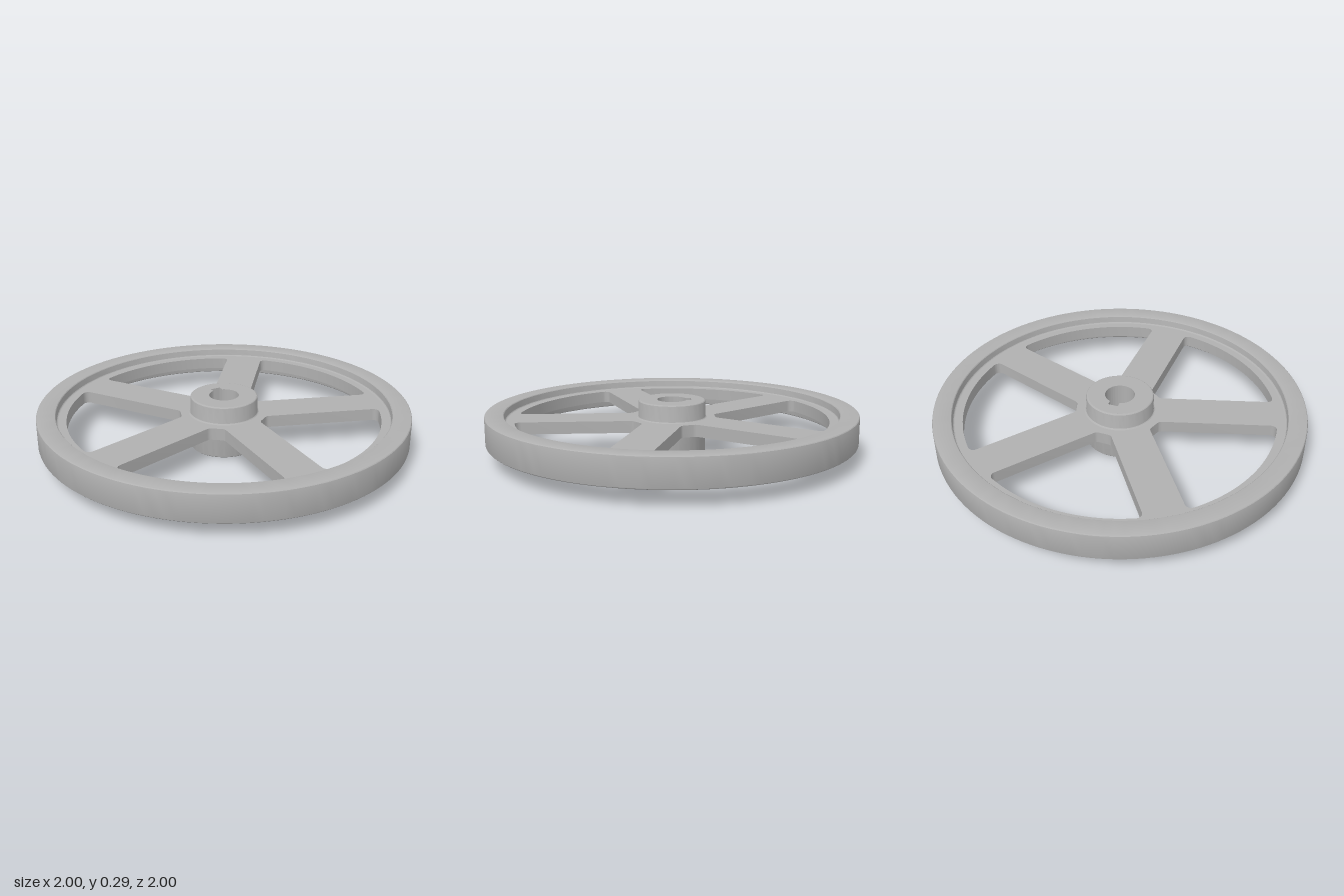
import * as THREE from 'three';
import { toCreasedNormals } from 'three/addons/utils/BufferGeometryUtils.js';

const MID = 0.1625; // mid-plane height of the wheel
const WEB_HALF = 0.0325, RIM_HALF = 0.0775;
const HUB_R = 0.182, HUB_H = 0.29, FILLET = 0.01;

const steel = new THREE.MeshStandardMaterial({ color: 0xb0b0b0 });
steel.name = 'steelGrey';

function part(name, geometry) {
  const mesh = new THREE.Mesh(toCreasedNormals(geometry, 0.3), steel);
  mesh.name = name;
  return mesh;
}

// quarter-round points about (cx, cy), angles in quarter turns
function round(cx, cy, from, to, r = FILLET) {
  return [0, 1, 2, 3].map((i) => {
    const a = (from + ((to - from) * i) / 3) * Math.PI / 2;
    return new THREE.Vector2(cx + r * Math.cos(a), cy + r * Math.sin(a));
  });
}

// flat shape laid horizontally between two heights
function plate(shape, y0, y1) {
  const g = new THREE.ExtrudeGeometry(shape, { depth: y1 - y0, bevelEnabled: false, curveSegments: 96 });
  return g.rotateX(-Math.PI / 2).translate(0, y0, 0);
}

function disc(r) {
  return new THREE.Shape().absarc(0, 0, r, 0, Math.PI * 2, false);
}

// outline of one opening between two spokes, with rounded corners
function windowPoints() {
  const half = Math.PI / 5, spoke = 0.105, outer = 0.845, inner = 0.235, f = 0.03;
  const s = Math.sin(half), c = Math.cos(half), off = spoke + f;
  const sOut = Math.sqrt((outer - f) ** 2 - off ** 2);
  const sIn = (inner + f - off * s) / c;
  const ox = sOut * s - off * c, oy = sOut * c + off * s;
  const ix = sIn * s - off * c, iy = inner + f;
  const a = Math.atan2(oy, ox);
  const arc = (x, y, r, a0, a1, n) => Array.from({ length: n + 1 }, (_, i) => {
    const t = a0 + ((a1 - a0) * i) / n;
    return new THREE.Vector2(x + r * Math.cos(t), y + r * Math.sin(t));
  });
  return [
    ...arc(ix, iy, f, -Math.PI / 2, -half, 5),
    ...arc(ox, oy, f, -half, a, 8),
    ...arc(0, 0, outer, a, Math.PI - a, 24).slice(1, -1),
    ...arc(-ox, oy, f, Math.PI - a, Math.PI + half, 8),
    ...arc(-ix, iy, f, Math.PI + half, Math.PI * 1.5, 5),
  ];
}

export function createModel() {
  const wheel = new THREE.Group();
  wheel.name = 'spokedWheel';

  // rim: rounded ring with small fillets down to the web
  const top = MID + RIM_HALF, bottom = MID - RIM_HALF;
  const webTop = MID + WEB_HALF, webBottom = MID - WEB_HALF;
  const rimIn = 0.897, e = FILLET;
  const rim = [
    ...round(rimIn + e, bottom + e, -2, -1),
    ...round(1 - e, bottom + e, -1, 0),
    ...round(1 - e, top - e, 0, 1),
    ...round(rimIn + e, top - e, 1, 2),
    ...round(rimIn - e, webTop + e, 0, -1),
    ...round(rimIn - e, webBottom - e, 1, 0),
  ];
  rim.push(rim[0].clone());
  wheel.add(part('rim', new THREE.LatheGeometry(rim, 128)));

  // web: thin disc pierced by five openings, leaving five spokes
  const web = disc(0.91);
  const outline = windowPoints();
  for (let i = 0; i < 5; i++) {
    const pts = outline.map((p) => p.clone().rotateAround(new THREE.Vector2(), i * Math.PI * 0.4));
    web.holes.push(new THREE.Path(pts));
  }
  web.holes.push(new THREE.Path().absarc(0, 0, 0.15, 0, Math.PI * 2, true));
  wheel.add(part('spokes', plate(web, webBottom, webTop)));

  // hub: outer skin with rounded ends and fillets at the web
  const hub = [
    ...round(HUB_R - e, e, -1, 0),
    ...round(HUB_R + e, webBottom - e, 2, 1),
    ...round(HUB_R + e, webTop + e, 3, 2),
    ...round(HUB_R - e, HUB_H - e, 0, 1),
  ];
  wheel.add(part('hubSkin', new THREE.LatheGeometry(hub, 96)));

  // hub core with the bore and its keyway
  const bore = 0.08, key = 0.027, keyTop = 0.104, b = Math.asin(key / bore);
  const core = disc(HUB_R - e);
  const hole = new THREE.Path();
  hole.moveTo(key, keyTop);
  hole.lineTo(-key, keyTop);
  hole.absarc(0, 0, bore, Math.PI / 2 + b, Math.PI * 2.5 - b, false);
  hole.closePath();
  core.holes.push(hole);
  wheel.add(part('hubCore', plate(core, 0, HUB_H)));

  return wheel;
}
